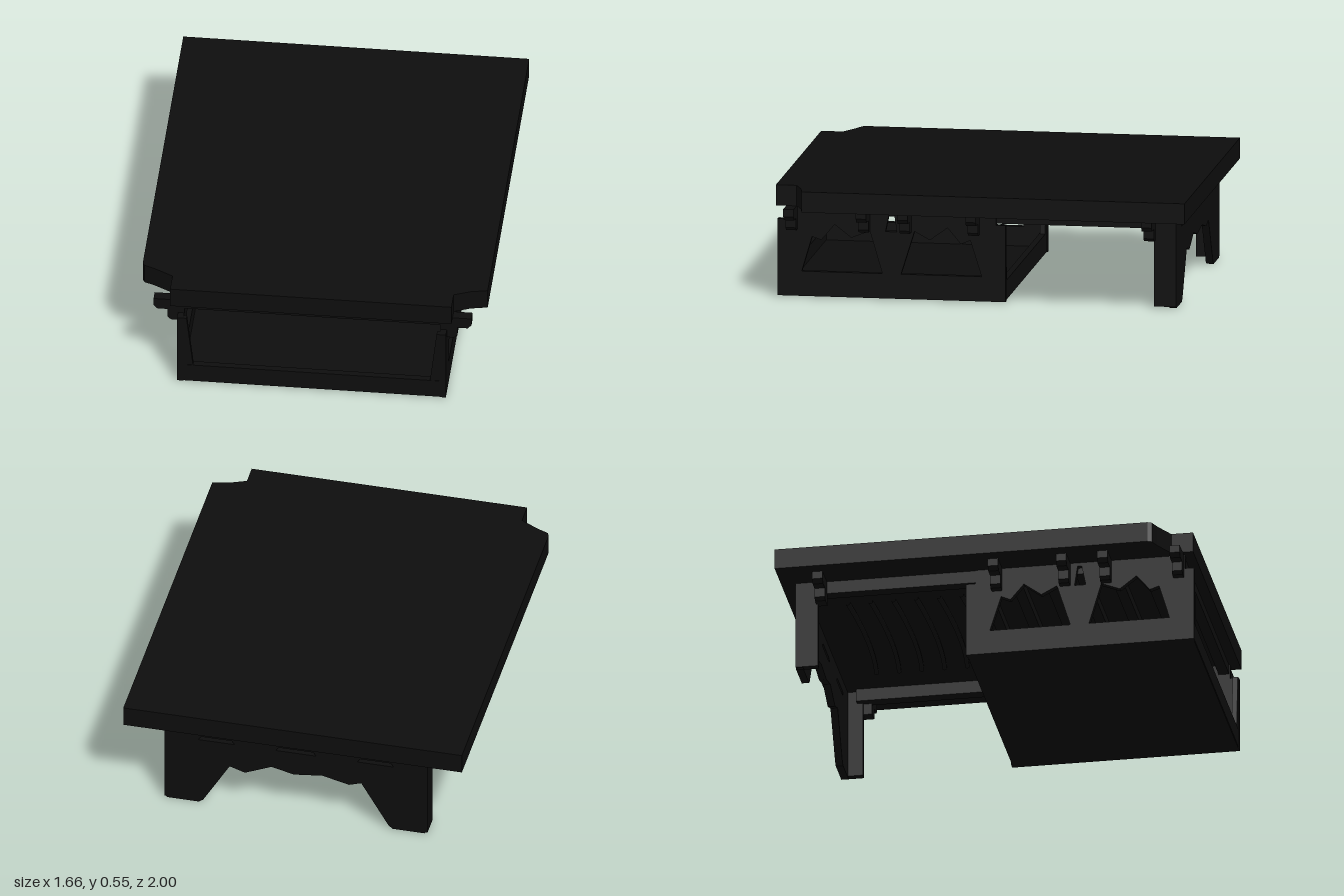
import * as THREE from 'three';

const black = new THREE.MeshStandardMaterial({ color: 0x0d0d0d });
black.name = 'matt black';

const toPoints = (list) => list.map(([u, v]) => new THREE.Vector2(u, v));

// Flat plate cut from an outline, with optional holes
function plate(outline, depth, holes = []) {
  const shape = new THREE.Shape(toPoints(outline));
  holes.forEach((h) => shape.holes.push(new THREE.Path(toPoints(h))));
  return new THREE.ExtrudeGeometry(shape, { depth, bevelEnabled: false });
}

export function createModel() {
  const model = new THREE.Group();
  model.name = 'platform';

  const add = (name, geometry, x = 0, y = 0, z = 0) => {
    const mesh = new THREE.Mesh(geometry, black);
    mesh.name = name;
    mesh.position.set(x, y, z);
    model.add(mesh);
    return mesh;
  };
  // Box given by its limits on each axis
  const box = (name, x0, x1, y0, y1, z0, z1) =>
    add(name, new THREE.BoxGeometry(x1 - x0, y1 - y0, z1 - z0),
      (x0 + x1) / 2, (y0 + y1) / 2, (z0 + z1) / 2);

  // Deck with notched front corners
  const deck = plate([
    [-0.83, -1], [0.83, -1], [0.83, 0.85], [0.75, 0.867], [0.672, 0.9], [0.672, 1],
    [-0.678, 1], [-0.678, 0.895], [-0.77, 0.845], [-0.82, 0.825], [-0.83, 0.805],
  ], 0.1);
  deck.rotateX(Math.PI / 2);
  add('deck', deck, 0, 0.552, 0);

  // Tray floor with low front and back lips
  box('trayFloor', -0.64, 0.64, 0.01, 0.035, -0.1, 0.995);
  box('trayFrontLip', -0.635, 0.635, 0.015, 0.105, 0.965, 0.997);
  box('trayBackLip', -0.635, 0.635, 0.015, 0.105, -0.1, -0.07);

  // Tray sides with jagged windows
  const sideOutline = [
    [-0.105, 0.01], [0.998, 0.01], [0.998, 0.382], [0.955, 0.382], [0.955, 0.452],
    [-0.06, 0.452], [-0.06, 0.382], [-0.105, 0.382],
  ];
  const sideHoles = [
    [[0.88, 0.13], [0.83, 0.3], [0.785, 0.285], [0.72, 0.362], [0.64, 0.3], [0.55, 0.335], [0.49, 0.13]],
    [[0.4, 0.13], [0.335, 0.34], [0.26, 0.3], [0.175, 0.362], [0.11, 0.285], [0.065, 0.305], [0.01, 0.13]],
    [[0.475, 0.335], [0.455, 0.435], [0.435, 0.435], [0.42, 0.335]],
  ];
  for (const s of [-1, 1]) {
    const side = plate(sideOutline, 0.03, sideHoles);
    side.rotateY(-Math.PI / 2);
    add('traySide', side, s > 0 ? 0.645 : -0.615);
  }

  // Triangular corner gussets inside the tray
  for (const s of [-1, 1]) {
    const gusset = plate([[s * 0.62, 0.03], [s * 0.56, 0.03], [s * 0.6, 0.38], [s * 0.62, 0.38]], 0.025);
    add('cornerGusset', gusset, 0, 0, 0.97);
    add('cornerGusset', gusset, 0, 0, -0.1);
  }

  // Back leg panel: jagged arch with three slots under the deck
  const slots = [[-0.48, -0.3], [-0.1, 0.1], [0.3, 0.48]].map(([a, b]) =>
    [[a, 0.373], [a + 0.015, 0.392], [b - 0.015, 0.392], [b, 0.373]]);
  const backPanel = plate([
    [-0.645, 0.02], [-0.63, 0.005], [-0.475, 0.005], [-0.455, 0.02],
    [-0.32, 0.25], [-0.26, 0.23], [-0.13, 0.262], [0.01, 0.245],
    [0.12, 0.272], [0.25, 0.215], [0.325, 0.24], [0.455, 0.02],
    [0.475, 0.005], [0.63, 0.005], [0.645, 0.02], [0.645, 0.452], [-0.645, 0.452],
  ], 0.035, slots);
  add('backLegPanel', backPanel, 0, 0, -0.93);

  // Leg returns, stepped brackets and rails on both sides
  const bracketZ = [-0.83, 0.02, 0.35, 0.55, 0.9];
  for (const s of [-1, 1]) {
    const e = (a, b) => (s > 0 ? [a, b] : [-b, -a]);
    box('backLegReturn', ...e(0.61, 0.645), 0.012, 0.452, -0.93, -0.822);
    box('sideRail', ...e(0.58, 0.64), 0.39, 0.452, -0.85, -0.05);
    for (const z of bracketZ) {
      const bracket = plate([
        [0.62, 0.452], [0.62, 0.335], [0.68, 0.335], [0.695, 0.35], [0.695, 0.395],
        [0.745, 0.395], [0.763, 0.415], [0.763, 0.452],
      ].map(([x, y]) => [s * x, y]), 0.05);
      add('bracket', bracket, 0, 0, z);
    }
  }

  // Cross slats under the deck
  for (let i = 0; i < 7; i++) {
    const z = -0.06 + i * 0.16;
    box('crossSlat', -0.62, 0.62, 0.405, 0.452, z, z + 0.05);
  }

  // Shallow bowed strips under the rear deck
  for (let i = 0; i < 6; i++) {
    const z = -0.72 + i * 0.11;
    const curve = new THREE.QuadraticBezierCurve3(
      new THREE.Vector3(-0.4, 0.445, z), new THREE.Vector3(0, 0.4, z + 0.06), new THREE.Vector3(0.4, 0.445, z));
    add('bowedStrip', new THREE.TubeGeometry(curve, 16, 0.012, 6));
  }
  return model;
}
